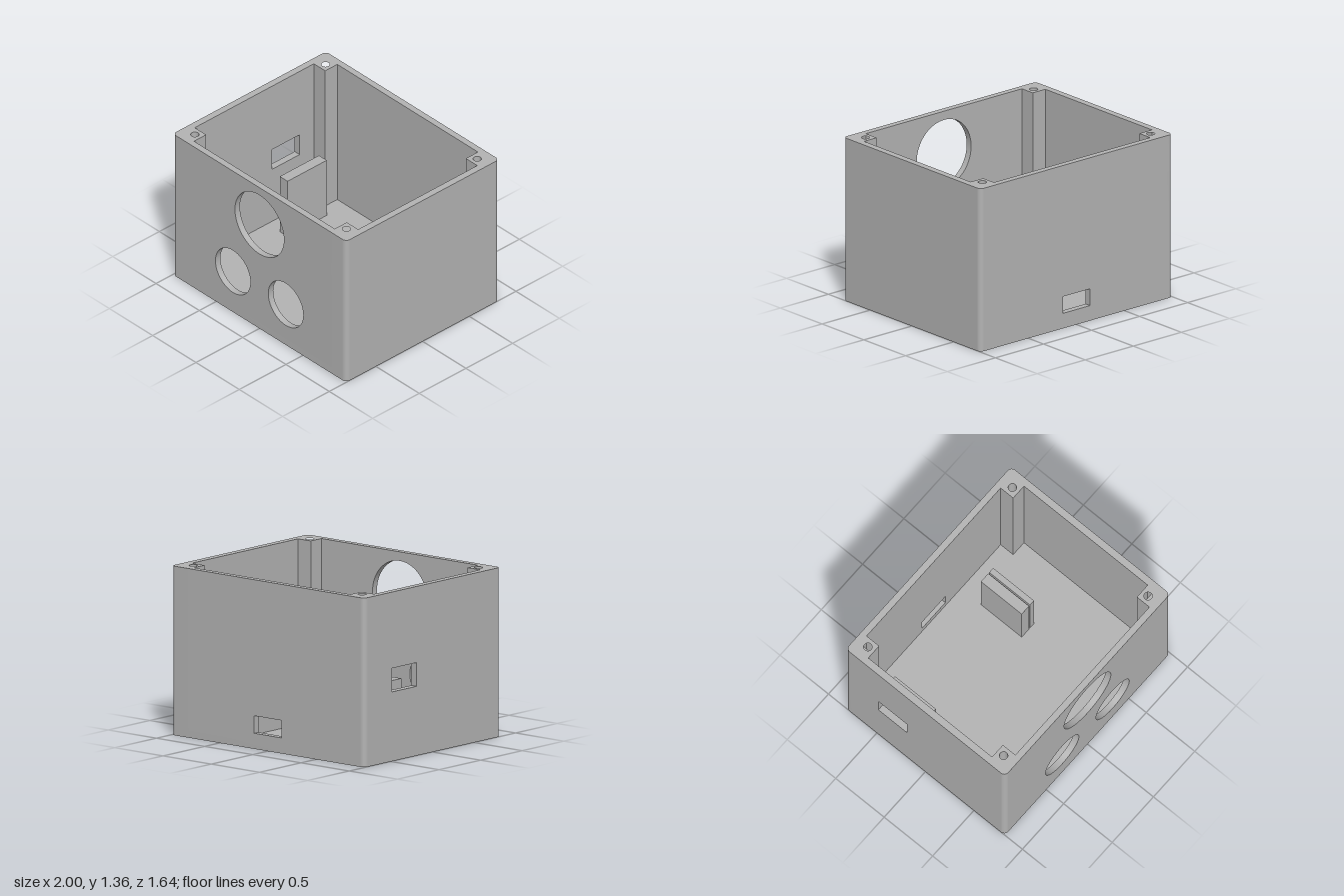
import * as THREE from 'three';
import { toCreasedNormals } from 'three/addons/utils/BufferGeometryUtils.js';

const HX = 1, HZ = 0.82, H = 1.355;       // outer half sizes and height
const IX = 0.943, IZ = 0.767;             // inner faces of the walls
const PX = 0.812, PZ = 0.638;             // inner faces of the corner posts
const FLOOR = 0.055, R = 0.04, SCREW_DEPTH = 0.3;

function circle(x, y, r) {
  return new THREE.Path().absarc(x, y, r, 0, Math.PI * 2, true);
}

function rect(x0, y0, x1, y1, Type = THREE.Path) {
  return new Type().setFromPoints([[x0, y0], [x1, y0], [x1, y1], [x0, y1]].map(p => new THREE.Vector2(...p)));
}

function extrude(shape, depth) {
  const g = new THREE.ExtrudeGeometry(shape, { depth, bevelEnabled: false, curveSegments: 32 });
  return toCreasedNormals(g, 0.6);
}

// Extrude a plan shape (x, -z) upwards from y0 to y1
function extrudeUp(shape, y0, y1) {
  return extrude(shape, y1 - y0).rotateX(-Math.PI / 2).translate(0, y0, 0);
}

export function createModel() {
  const model = new THREE.Group();
  model.name = 'enclosure';
  const grey = new THREE.MeshStandardMaterial({ color: 0xb2b2b2 });
  grey.name = 'grey plastic';

  const add = (name, geometry) => {
    const mesh = new THREE.Mesh(geometry, grey);
    mesh.name = name;
    model.add(mesh);
    return mesh;
  };

  // Floor plate with rounded corners
  const base = new THREE.Shape();
  base.absarc(HX - R, HZ - R, R, 0, Math.PI / 2);
  base.absarc(-HX + R, HZ - R, R, Math.PI / 2, Math.PI);
  base.absarc(-HX + R, -HZ + R, R, Math.PI, Math.PI * 1.5);
  base.absarc(HX - R, -HZ + R, R, Math.PI * 1.5, Math.PI * 2);
  add('floor', extrudeUp(base, 0, FLOOR));

  // Corner posts, each with a blind screw hole in the top
  const post = (turned, drilled) => {
    const s = new THREE.Shape();
    // the second pair is mirrored in x
    const m = turned ? -1 : 1;
    s.moveTo(PX * m, PZ);
    s.lineTo(HX * m, PZ);
    s.absarc((HX - R) * m, HZ - R, R, turned ? Math.PI : 0, Math.PI / 2, turned);
    s.lineTo(PX * m, HZ);
    s.closePath();
    if (drilled) s.holes.push(circle(0.875 * m, 0.7, 0.033));
    return s;
  };
  for (const mirrored of [false, true]) {
    for (const spin of [0, Math.PI]) {
      add('cornerPost', extrudeUp(post(mirrored, false), FLOOR, H - SCREW_DEPTH).rotateY(spin));
      add('cornerPostTop', extrudeUp(post(mirrored, true), H - SCREW_DEPTH, H).rotateY(spin));
    }
  }

  // Walls between the posts, with their openings
  const wall = (half, thickness, holes = []) => {
    const s = rect(-half, FLOOR, half, H, THREE.Shape);
    s.holes.push(...holes);
    return extrude(s, thickness);
  };
  const frontHoles = [circle(0, 1, 0.283), circle(-0.306, 0.39, 0.202), circle(0.304, 0.39, 0.202)];
  add('frontWall', wall(PX, HZ - IZ, frontHoles).translate(0, 0, IZ));
  add('backWall', wall(PX, HZ - IZ, [rect(-0.142, 0.125, 0.142, 0.265)]).translate(0, 0, -HZ));
  add('rightWall', wall(PZ, HX - IX, [rect(-0.485, 0.555, -0.19, 0.745)])
    .rotateY(-Math.PI / 2).translate(-IX, 0, 0));
  add('leftWall', wall(PZ, HX - IX).rotateY(-Math.PI / 2).translate(HX, 0, 0));

  // Upright plates that hold the boards inside
  for (const [x0, x1] of [[-0.8, -0.71], [0.33, 0.418], [0.43, 0.478]]) {
    const plate = add('supportPlate', new THREE.BoxGeometry(x1 - x0, 0.585 - FLOOR, 0.42));
    plate.position.set((x0 + x1) / 2, (0.585 + FLOOR) / 2, -0.35);
  }

  return model;
}
